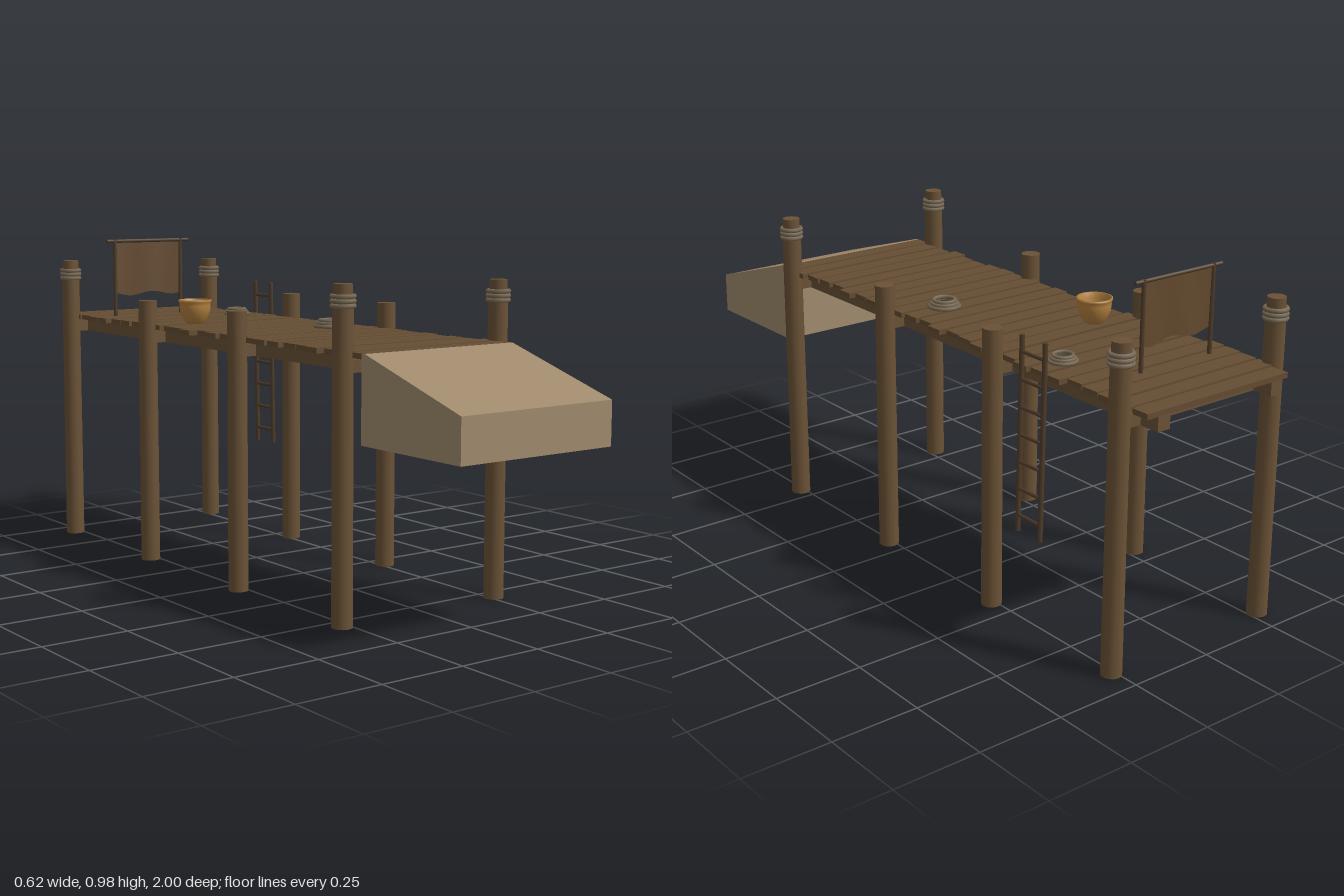
import * as THREE from 'three';

const mat = (name, color, side = THREE.FrontSide) => {
  const m = new THREE.MeshStandardMaterial({ color, side });
  m.name = name;
  return m;
};

export function createModel() {
  const wood = mat('post wood', 0x6b5236);
  const plankWood = mat('plank wood', 0x654d32);
  const darkWood = mat('dark wood', 0x4f3c29);
  const clothMat = mat('hide cloth', 0x63492e, THREE.DoubleSide);
  const stone = mat('ramp earth', 0xa18b6e);
  const rope = mat('rope', 0x786a55);
  const clay = mat('clay', 0xb5823f, THREE.DoubleSide);

  const model = new THREE.Group();
  model.name = 'dock';
  let seed = 7;
  const rand = () => (seed = (seed * 16807) % 2147483647) / 2147483647 - 0.5;

  const add = (parent, name, geo, material, x = 0, y = 0, z = 0) => {
    const m = new THREE.Mesh(geo, material);
    m.name = name;
    m.position.set(x, y, z);
    parent.add(m);
    return m;
  };
  const group = (name, x = 0, y = 0, z = 0) => {
    const g = new THREE.Group();
    g.name = name;
    g.position.set(x, y, z);
    model.add(g);
    return g;
  };
  const box = (w, h, d) => new THREE.BoxGeometry(w, h, d);
  const rod = (r, h, n = 8) => new THREE.CylinderGeometry(r, r, h, n);
  const ring = (R, r) => new THREE.TorusGeometry(R, r, 6, 20).rotateX(Math.PI / 2);

  // Posts; the end pairs are taller, with a slimmer head and rope lashing
  const postZ = [0.55, 0.06, -0.43, -0.92];
  postZ.forEach((z, i) => {
    const tall = i === 0 || i === 3;
    for (const [x, top] of [[-0.275, 0.905], [0.262, 0.897]]) {
      const g = group('post', x, 0, z);
      const shaft = tall ? top - 0.03 : 0.803;
      add(g, 'postShaft', new THREE.CylinderGeometry(0.028, 0.029, shaft, 12), wood, 0, shaft / 2, 0);
      if (!tall) continue;
      add(g, 'postHead', rod(0.0255, 0.04, 12), wood, 0, top - 0.02, 0);
      for (let k = 0; k < 3; k++) {
        add(g, 'ropeLashing', ring(0.029, 0.0065), rope, 0, top - 0.057 + k * 0.0125, 0);
      }
    }
    add(model, 'crossBeam', box(0.53, 0.034, 0.04), wood, -0.007, 0.692, z);
  });

  // Long beams under the deck
  for (const x of [-0.205, 0.19]) {
    add(model, 'longBeam', box(0.04, 0.041, 1.615), wood, x, 0.6945, -0.1925);
  }

  // Deck planks with uneven ends
  const deck = group('deck');
  for (let i = 0; i < 26; i++) {
    const last = i === 25;
    const w = last ? 0.51 : 0.5 + rand() * 0.024;
    const p = add(deck, 'plank', box(w, 0.015, 0.053), plankWood,
      -0.009 + (last ? 0 : rand() * 0.024), 0.7215 + rand() * 0.002, -0.9735 + i * 0.0627);
    p.rotation.y = last ? 0 : rand() * 0.008;
  }

  // Sloping ramp at the front
  const side = new THREE.Shape([[0.615, 0.492], [1, 0.492], [1, 0.613], [0.63, 0.729], [0.615, 0.729]]
    .map(([z, y]) => new THREE.Vector2(z, y)));
  const rampGeo = new THREE.ExtrudeGeometry(side, { depth: 0.51, bevelEnabled: false });
  add(model, 'ramp', rampGeo.rotateY(-Math.PI / 2), stone, 0.245, 0, 0);

  // Ladder leaning on the left edge
  const ladder = group('ladder', 0.295, 0.56, -0.631);
  ladder.rotation.z = 0.016;
  for (const z of [-0.045, 0.045]) add(ladder, 'ladderRail', rod(0.007, 0.54), darkWood, 0, 0, z);
  for (let i = 0; i < 7; i++) {
    add(ladder, 'ladderRung', rod(0.0055, 0.09, 6).rotateX(Math.PI / 2), darkWood, 0, -0.225 + i * 0.075, 0);
  }

  // Frame with a hanging hide
  const frame = group('hideFrame', -0.067, 0.73, -0.775);
  for (const x of [-0.123, 0.123]) add(frame, 'frameUpright', rod(0.006, 0.25), darkWood, x, 0.12, 0);
  add(frame, 'frameBar', rod(0.0055, 0.305).rotateZ(Math.PI / 2), darkWood, 0, 0.24, 0);
  const cloth = new THREE.PlaneGeometry(0.24, 0.17, 16, 8);
  const pos = cloth.attributes.position;
  for (let i = 0; i < pos.count; i++) {
    const x = pos.getX(i), y = pos.getY(i), drop = 0.5 - y / 0.17;
    pos.setY(i, y + drop * 0.006 * Math.sin(x * 40 + 1));
    pos.setZ(i, 0.004 * drop * Math.sin(x * 45));
  }
  cloth.computeVertexNormals();
  add(frame, 'hangingHide', cloth, clothMat, 0, 0.154, 0);

  // Open clay pot
  const potProfile = [[0, 0], [0.025, 0], [0.037, 0.015], [0.046, 0.037], [0.048, 0.055], [0.047, 0.062],
    [0.051, 0.067], [0.051, 0.073], [0.045, 0.073], [0.043, 0.055], [0.034, 0.02], [0, 0.01]]
    .map(([r, y]) => new THREE.Vector2(r, y));
  add(model, 'pot', new THREE.LatheGeometry(potProfile, 24), clay, -0.13, 0.729, -0.39);

  // Coils of rope on the deck
  for (const [x, z, s] of [[0.115, -0.025, 1], [0.157, -0.59, 0.86]]) {
    const coil = group('ropeCoil', x, 0.729, z);
    [0.043, 0.037, 0.031].forEach((R, k) => {
      add(coil, 'ropeLoop', ring(R * s, 0.006 * s), rope, 0, (0.006 + k * 0.008) * s, 0);
    });
  }
  return model;
}
